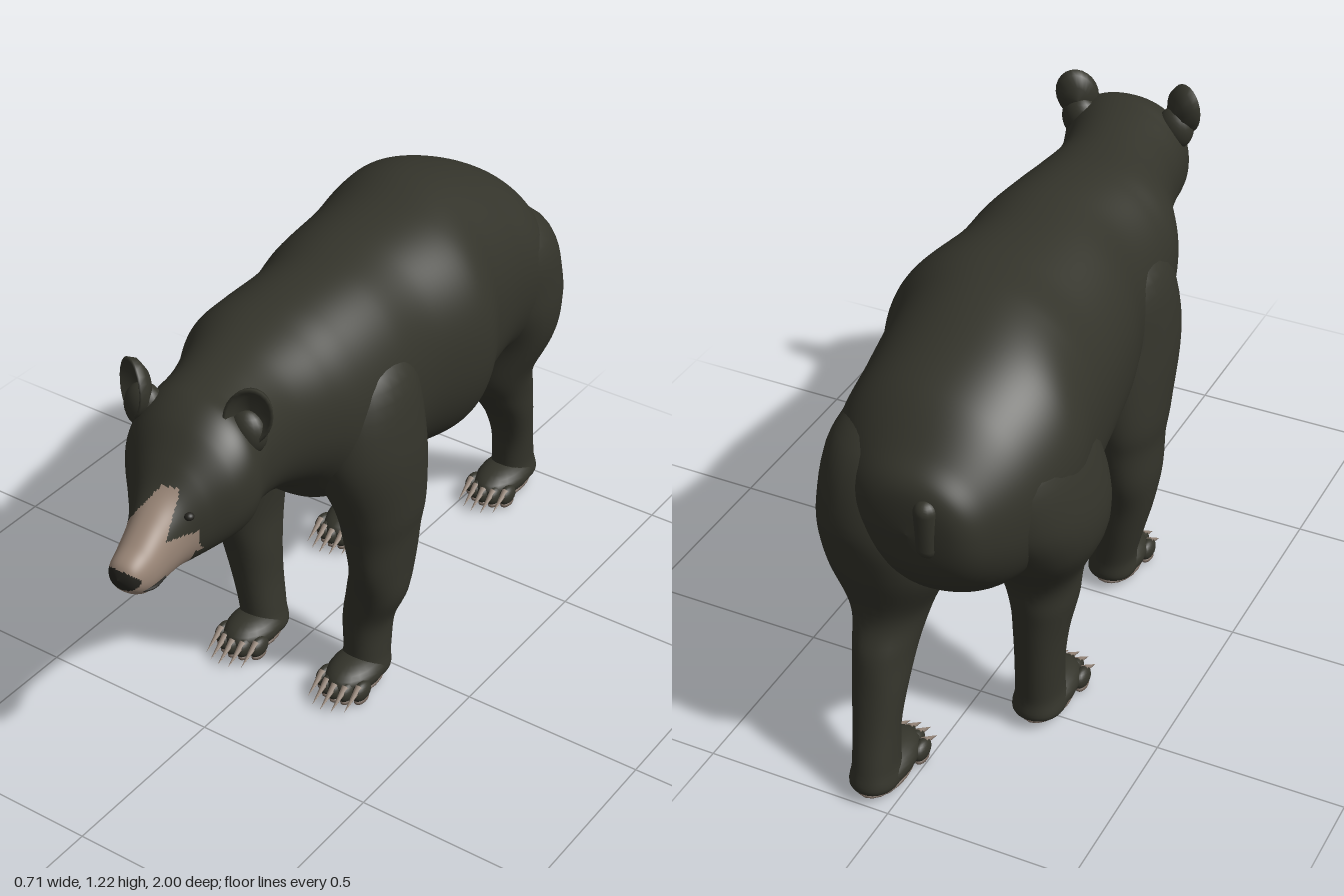
import * as THREE from 'three';

const mat = (name, color) => {
  const m = new THREE.MeshStandardMaterial({ color });
  m.name = name;
  return m;
};

// Catmull-Rom through rows of numbers, column by column
function smoothRows(rows, steps) {
  const out = [];
  for (let i = 0; i < rows.length - 1; i++) {
    const [p, a, b, n] = [rows[Math.max(i - 1, 0)], rows[i], rows[i + 1], rows[Math.min(i + 2, rows.length - 1)]];
    for (let s = 0; s < steps; s++) {
      const t = s / steps;
      out.push(a.map((v, k) => {
        const m0 = (b[k] - p[k]) / 2, m1 = (n[k] - v) / 2, d = b[k] - v;
        const r = v + m0 * t + (3 * d - 2 * m0 - m1) * t * t + (m0 + m1 - 2 * d) * t * t * t;
        return k > 2 ? Math.max(r, 0) : r;
      }));
    }
  }
  out.push(rows[rows.length - 1]);
  return out;
}

// Skin of rounded sections; pick() chooses a material index for each quad
function loft(rows, place, sides, steps, pick) {
  const rings = smoothRows(rows, steps), pos = [], faces = [[], [], []];
  for (const r of rings) {
    for (let j = 0; j < sides; j++) {
      const a = (j / sides) * Math.PI * 2;
      const [c, s] = [Math.cos(a), Math.sin(a)].map(v => Math.sign(v) * Math.abs(v) ** 0.92);
      pos.push(...place(r, c, s));
    }
  }
  for (let i = 0; i < rings.length - 1; i++) {
    for (let j = 0; j < sides; j++) {
      const a = i * sides + j, b = i * sides + (j + 1) % sides, c = a + sides, d = b + sides;
      const mid = [0, 1, 2].map(k => (pos[a * 3 + k] + pos[b * 3 + k] + pos[c * 3 + k] + pos[d * 3 + k]) / 4);
      faces[pick ? pick(...mid) : 0].push(a, b, c, b, d, c);
    }
  }
  const g = new THREE.BufferGeometry();
  g.setAttribute('position', new THREE.Float32BufferAttribute(pos, 3));
  g.setIndex(faces.flat());
  let start = 0;
  faces.forEach((f, i) => {
    if (f.length) g.addGroup(start, f.length, i);
    start += f.length;
  });
  g.computeVertexNormals();
  return g;
}

export function createModel() {
  const model = new THREE.Group();
  model.name = 'bear';
  const fur = mat('dark fur', 0x34342b);
  const tan = mat('tan muzzle', 0x9b8778);
  const black = mat('black nose', 0x25241f);
  const pad = mat('paw pad', 0x74665c);
  const claw = mat('claw', 0x968679);

  const add = (name, geo, material, parent = model, p = [0, 0, 0], s = [1, 1, 1]) => {
    const m = new THREE.Mesh(geo, material);
    m.name = name;
    m.position.set(...p);
    m.scale.set(...s);
    parent.add(m);
    return m;
  };
  const ball = new THREE.SphereGeometry(1, 20, 14);

  // Body, neck and head: z, centre x, centre y, half width, half height
  const bodyRows = [
    [-0.938, -0.05, 0.84, 0, 0], [-0.922, -0.05, 0.84, 0.12, 0.11], [-0.86, -0.035, 0.825, 0.2, 0.19],
    [-0.75, -0.025, 0.835, 0.27, 0.275], [-0.6, -0.035, 0.87, 0.295, 0.308], [-0.45, -0.01, 0.875, 0.295, 0.34],
    [-0.3, 0.03, 0.872, 0.308, 0.342], [-0.1, 0.03, 0.885, 0.277, 0.32], [0.05, 0.05, 0.885, 0.258, 0.315],
    [0.2, 0.045, 0.9, 0.25, 0.29], [0.3, 0.043, 0.94, 0.23, 0.24], [0.42, 0.065, 0.965, 0.185, 0.205],
    [0.52, 0.09, 0.98, 0.17, 0.187], [0.6, 0.11, 0.99, 0.175, 0.175], [0.66, 0.125, 0.985, 0.18, 0.178],
    [0.72, 0.13, 0.97, 0.165, 0.163], [0.78, 0.14, 0.94, 0.122, 0.135], [0.83, 0.147, 0.913, 0.086, 0.108],
    [0.88, 0.155, 0.89, 0.065, 0.09], [0.94, 0.16, 0.87, 0.054, 0.066], [0.985, 0.16, 0.87, 0.037, 0.036],
    [1.0, 0.16, 0.872, 0, 0],
  ];
  const coat = (x, y, z) => {
    if (z > 0.945 && Math.hypot((x - 0.16) / 0.046, (y - 0.869) / 0.027) < 1) return 2;
    const left = 0.058 + 0.6 * Math.max(0, y - 0.87);
    const right = y < 0.93 ? 0.245 : 0.212 - 0.15 * (y - 0.93);
    if (z > 0.775 && y > 0.87 && y < 1.03 && x > left && x < right) return 1;
    if (z > 0.81 && y <= 0.87) return 1;
    return y < 0.63 && Math.hypot((x - 0.06) / 0.042, (z - 0.15) / 0.07) < 1 ? 1 : 0;
  };
  add('body', loft(bodyRows, ([z, cx, cy, rx, ry], c, s) => [cx + rx * c, cy + ry * s, z], 120, 10, coat),
    [fur, tan, black]);

  // Mouth line and eyes
  const lip = [[0.104, 0.838, 0.89], [0.112, 0.834, 0.94], [0.16, 0.834, 0.976], [0.208, 0.834, 0.94], [0.208, 0.838, 0.89]];
  const lipCurve = new THREE.CatmullRomCurve3(lip.map(p => new THREE.Vector3(...p)));
  add('mouth', new THREE.TubeGeometry(lipCurve, 20, 0.005, 6), black);
  for (const x of [0.088, 0.229]) add('eye', ball, black, model, [x, 0.972, 0.82], [0.012, 0.01, 0.012]);

  // Cupped ears on rounded bases
  const cup = [[0, -0.035], [0.03, -0.028], [0.05, -0.008], [0.055, 0.012], [0.048, 0.014], [0.035, -0.005], [0, -0.014]];
  const earGeo = new THREE.LatheGeometry(cup.map(p => new THREE.Vector2(...p)), 24);
  earGeo.rotateX(Math.PI / 2);
  for (const [x, y, z, side] of [[-0.032, 1.147, 0.675, -1], [0.256, 1.15, 0.625, 1]]) {
    const ear = add('ear', earGeo, fur, model, [x, y, z], [1.05, 1.36, 1]);
    ear.rotation.set(-0.1, side * 0.45, -side * 0.2);
    add('earBase', ball, fur, model, [x - side * 0.015, 1.095, z - 0.012], [0.052, 0.06, 0.042]);
  }

  // Tail
  const tail = add('tail', new THREE.CapsuleGeometry(0.03, 0.1, 8, 14), fur, model, [-0.095, 0.86, -0.918]);
  tail.rotation.x = -0.05;

  // Legs: y, centre x, centre z, half width, half depth
  const legs = {
    frontLeftLeg: [[1.12, 0.13, 0.07, 0, 0], [1.0, 0.175, 0.08, 0.125, 0.14], [0.8, 0.213, 0.09, 0.137, 0.18],
      [0.6, 0.25, 0.065, 0.1, 0.145], [0.5, 0.253, 0.06, 0.085, 0.125], [0.4, 0.257, 0.06, 0.073, 0.11],
      [0.3, 0.243, 0.06, 0.077, 0.085], [0.2, 0.217, 0.06, 0.065, 0.073], [0.1, 0.22, 0.07, 0.06, 0.066],
      [0.04, 0.22, 0.08, 0.062, 0.066], [0.02, 0.22, 0.08, 0, 0]],
    frontRightLeg: [[1.12, -0.03, 0.12, 0, 0], [1.0, -0.075, 0.13, 0.12, 0.15], [0.8, -0.11, 0.14, 0.135, 0.18],
      [0.6, -0.15, 0.09, 0.1, 0.145], [0.5, -0.155, 0.08, 0.086, 0.125], [0.4, -0.16, 0.075, 0.08, 0.11],
      [0.3, -0.15, 0.075, 0.075, 0.085], [0.2, -0.135, 0.075, 0.065, 0.073], [0.1, -0.115, 0.08, 0.06, 0.066],
      [0.04, -0.11, 0.085, 0.062, 0.066], [0.02, -0.11, 0.085, 0, 0]],
    hindLeftLeg: [[1.08, 0.07, -0.67, 0, 0], [0.97, 0.1, -0.69, 0.13, 0.17], [0.8, 0.1, -0.74, 0.162, 0.19],
      [0.65, 0.085, -0.77, 0.165, 0.145], [0.5, 0.088, -0.765, 0.1, 0.12], [0.4, 0.085, -0.815, 0.076, 0.102],
      [0.3, 0.08, -0.865, 0.067, 0.073], [0.2, 0.075, -0.9, 0.058, 0.062], [0.1, 0.07, -0.92, 0.056, 0.07],
      [0.04, 0.07, -0.925, 0.06, 0.072], [0.02, 0.07, -0.925, 0, 0]],
    hindRightLeg: [[1.08, -0.13, -0.62, 0, 0], [0.97, -0.16, -0.61, 0.13, 0.19], [0.8, -0.19, -0.58, 0.16, 0.235],
      [0.65, -0.2, -0.54, 0.152, 0.195], [0.5, -0.185, -0.505, 0.1, 0.125], [0.4, -0.19, -0.505, 0.08, 0.105],
      [0.3, -0.185, -0.515, 0.066, 0.085], [0.2, -0.18, -0.515, 0.06, 0.075], [0.1, -0.175, -0.505, 0.06, 0.075],
      [0.04, -0.175, -0.505, 0.065, 0.075], [0.02, -0.175, -0.505, 0, 0]],
  };
  for (const [name, rows] of Object.entries(legs)) {
    add(name, loft(rows, ([y, cx, cz, rx, rz], c, s) => [cx + rx * c, y, cz + rz * s], 32, 6), fur);
  }

  // Paws: sole, pad, five toes and claws
  const clawGeo = new THREE.ConeGeometry(0.011, 0.08, 8);
  clawGeo.rotateX(Math.PI / 2 + 0.5);
  const paw = (name, x, heel, toe) => {
    const g = new THREE.Group();
    g.name = name;
    model.add(g);
    const mid = (heel + toe) / 2, half = (toe - heel) / 2;
    add('foot', ball, fur, g, [x, 0.058, mid], [0.07, 0.046, half]);
    add('pad', ball, pad, g, [x, 0.025, mid - 0.005], [0.06, 0.017, half * 0.88]);
    for (let i = -2; i <= 2; i++) {
      const tx = x + i * 0.029, tz = toe - 0.02 - 0.007 * i * i;
      add('toe', ball, fur, g, [tx, 0.047, tz], [0.019, 0.028, 0.036]);
      add('toePad', ball, pad, g, [tx, 0.022, tz], [0.015, 0.012, 0.028]);
      add('claw', clawGeo, claw, g, [tx, 0.047, tz + 0.046]);
    }
  };
  paw('frontLeftPaw', 0.22, 0.01, 0.23);
  paw('frontRightPaw', -0.11, 0.02, 0.235);
  paw('hindLeftPaw', 0.07, -1.0, -0.75);
  paw('hindRightPaw', -0.175, -0.58, -0.33);

  return model;
}
